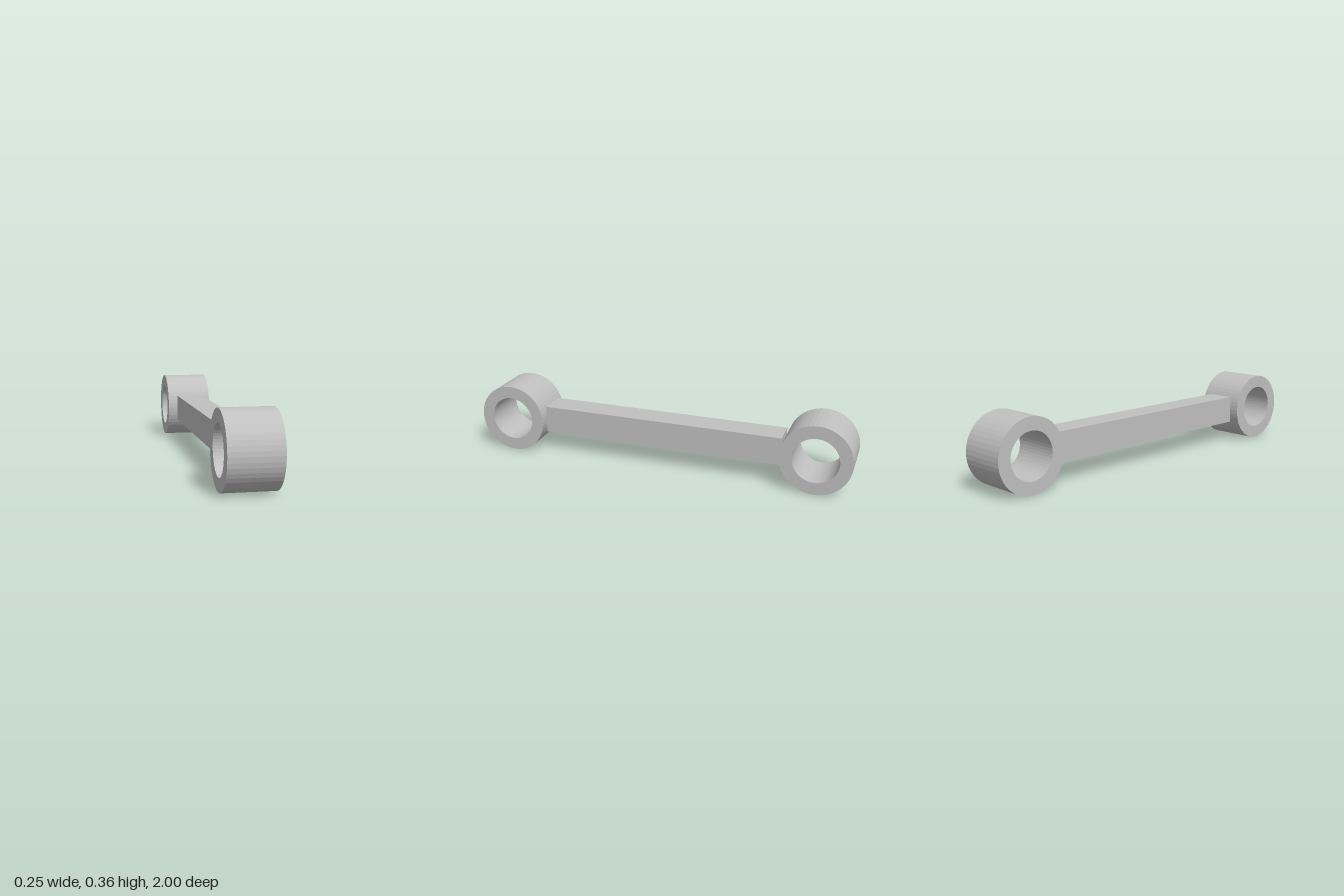
import * as THREE from 'three';

export function createModel() {
  const steel = new THREE.MeshStandardMaterial({ color: 0xc0c0c0, flatShading: true });
  steel.name = 'light grey metal';

  const model = new THREE.Group();
  model.name = 'connectingRod';

  const outer = 0.1805, inner = 0.116, half = 0.123;

  // Square-section sleeve, turned so its bore runs along x
  const profile = [
    [inner, -half], [outer, -half], [outer, half], [inner, half], [inner, -half],
  ].map(([r, y]) => new THREE.Vector2(r, y));
  const sleeve = new THREE.LatheGeometry(profile, 48).rotateZ(Math.PI / 2);

  // One sleeve at each end
  for (const [name, side] of [['frontSleeve', 1], ['backSleeve', -1]]) {
    const mesh = new THREE.Mesh(sleeve, steel);
    mesh.name = name;
    mesh.position.set(0, outer, side * (1 - outer));
    model.add(mesh);
  }

  // Square bar joining the sleeves
  const bar = new THREE.Mesh(new THREE.BoxGeometry(0.144, 0.144, 1.28), steel);
  bar.name = 'bar';
  bar.position.y = outer;
  model.add(bar);

  return model;
}
